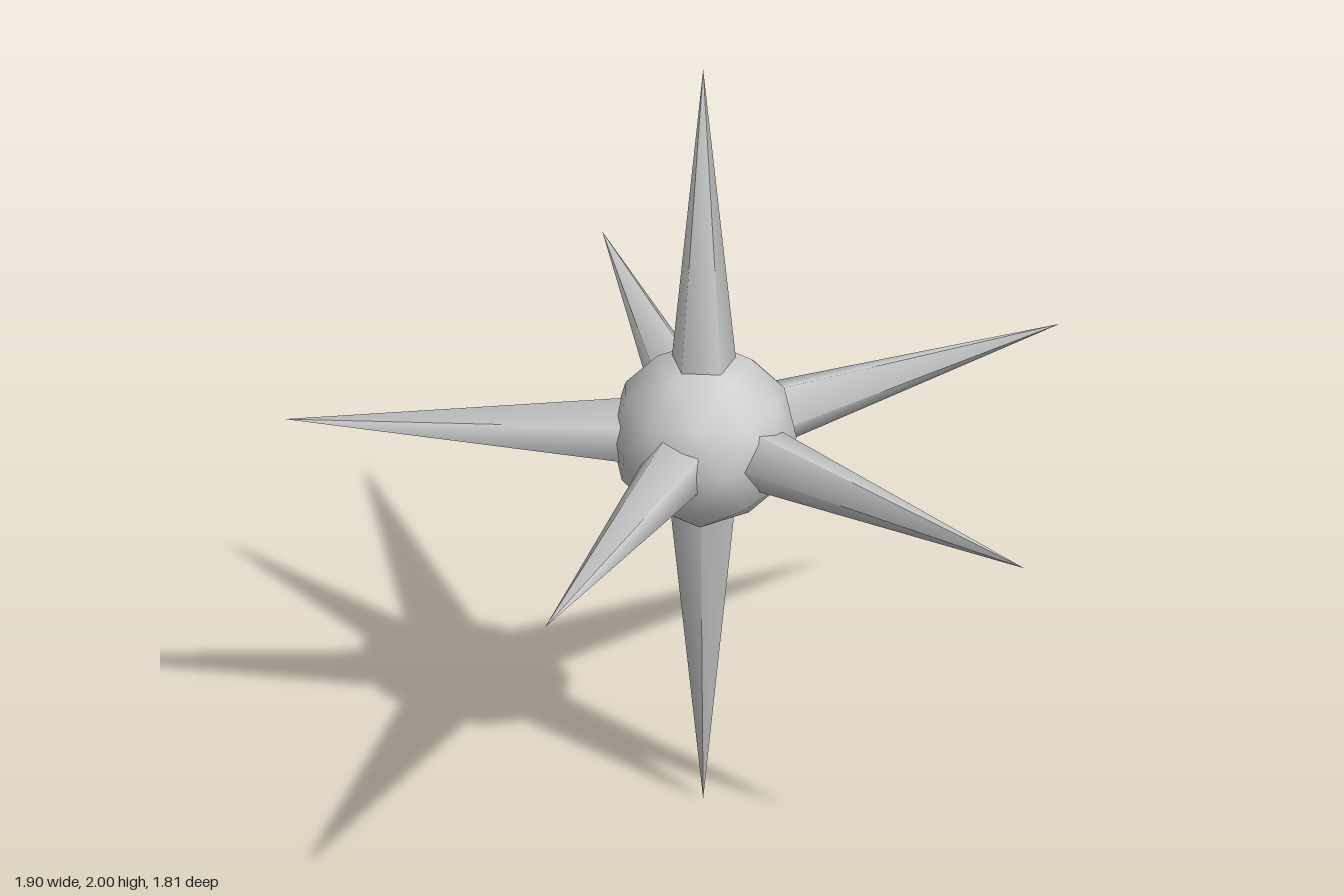
import * as THREE from 'three';

export function createModel() {
  const model = new THREE.Group();
  const material = new THREE.MeshStandardMaterial({ color: 0xcccccc });
  const up = new THREE.Vector3(0, 1, 0);
  const centre = new THREE.Vector3(0, 1, 0.095);

  // Faceted ball, turned so one of its corners points straight up
  const ball = new THREE.IcosahedronGeometry(0.223, 1);
  ball.rotateZ(-Math.atan(2 / (1 + Math.sqrt(5))));
  const body = new THREE.Mesh(ball, material);
  body.name = 'body';
  body.position.copy(centre);
  model.add(body);

  // Five-sided spike running from the centre of the ball to its tip
  const spikeGeometry = new THREE.ConeGeometry(0.1, 1, 5, 1, false, Math.PI / 2);
  spikeGeometry.translate(0, 0.5, 0);

  function addSpike(name, direction) {
    const spike = new THREE.Mesh(spikeGeometry, material);
    spike.name = name;
    spike.position.copy(centre);
    spike.quaternion.setFromUnitVectors(up, direction);
    model.add(spike);
  }

  addSpike('topSpike', up);
  addSpike('bottomSpike', new THREE.Vector3(0, -1, 0));

  // Ring of five level spikes, the first pointing to the back
  for (let i = 0; i < 5; i++) {
    const angle = (i * 2 * Math.PI) / 5;
    addSpike(`sideSpike${i + 1}`, new THREE.Vector3(Math.sin(angle), 0, -Math.cos(angle)));
  }

  return model;
}
